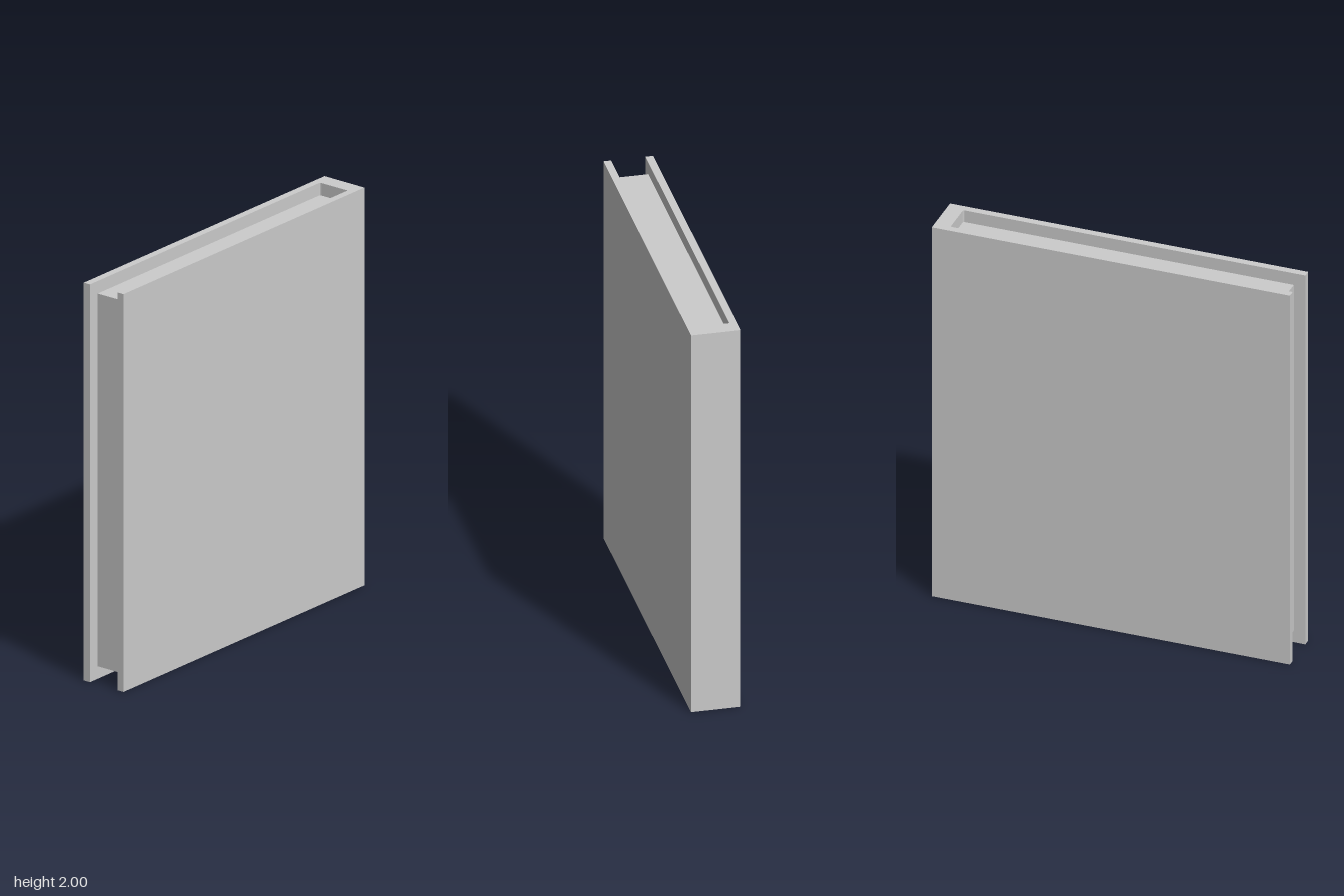
import * as THREE from 'three';

const WIDTH = 0.24, HEIGHT = 2, DEPTH = 1.8;
const BOARD = 0.037;   // thickness of each cover board
const SPINE = 0.08;    // thickness of the spine
const BEVEL = 0.008;   // softened inner corners beside the spine
const INSET = 0.063;   // pages sit back from the cover edges

export function createModel() {
  const group = new THREE.Group();
  group.name = 'book';
  const material = new THREE.MeshStandardMaterial({ color: 0xcccccc, flatShading: true });

  // Cover: U-shaped plan (shape y becomes -z), extruded upwards
  const x = WIDTH / 2, z = DEPTH / 2, inner = x - BOARD, back = z - SPINE;
  const plan = new THREE.Shape();
  plan.moveTo(-x, -z);
  plan.lineTo(-inner, -z);
  plan.lineTo(-inner, back - BEVEL);
  plan.quadraticCurveTo(-inner, back, -inner + BEVEL, back);
  plan.lineTo(inner - BEVEL, back);
  plan.quadraticCurveTo(inner, back, inner, back - BEVEL);
  plan.lineTo(inner, -z);
  plan.lineTo(x, -z);
  plan.lineTo(x, z);
  plan.lineTo(-x, z);
  plan.closePath();
  const coverGeometry = new THREE.ExtrudeGeometry(plan, {
    depth: HEIGHT, bevelEnabled: false, curveSegments: 4,
  });
  coverGeometry.rotateX(-Math.PI / 2);
  const cover = new THREE.Mesh(coverGeometry, material);
  cover.name = 'cover';

  // Page block: fills the cover, set back at the top, bottom and front
  const front = 0.842;
  const pages = new THREE.Mesh(
    new THREE.BoxGeometry(inner * 2, HEIGHT - INSET * 2, front + back), material);
  pages.position.set(0, HEIGHT / 2, (front - back) / 2);
  pages.name = 'pages';

  group.add(cover, pages);
  return group;
}
